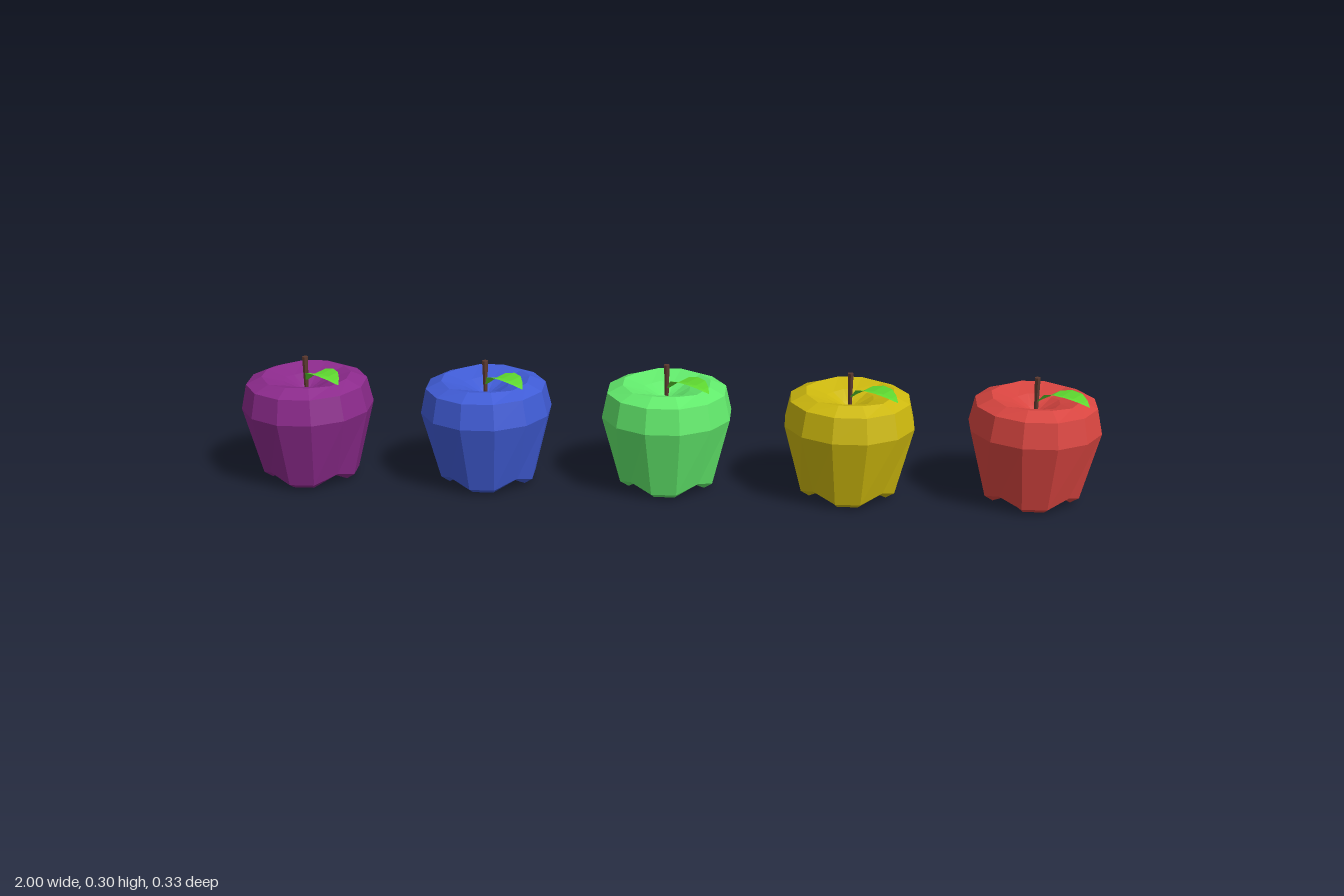
import * as THREE from 'three';

const SIDES = 12;

// Rings of the fruit from the middle of the base to the middle of the top:
// [radius, height, extra height at the four grooves between the lobes]
const RINGS = [
  [0, 0.05, 0],
  [0.05, 0.032, 0.012],
  [0.092, 0.002, 0.026],
  [0.112, 0.015, 0.019],
  [0.154, 0.178, 0],
  [0.141, 0.237, 0],
  [0.104, 0.254, -0.003],
  [0.055, 0.24, -0.003],
  [0.022, 0.222, 0],
  [0, 0.208, 0],
];

function mat(color, side = THREE.FrontSide) {
  return new THREE.MeshStandardMaterial({ color, flatShading: true, side });
}

// Skins a grid of points, rows of equal length, with two triangles per cell
function skin(rows) {
  const n = rows[0].length, index = [];
  for (let i = 0; i < rows.length - 1; i++) {
    for (let j = 0; j < n - 1; j++) {
      const a = i * n + j, b = a + 1, c = a + n, d = c + 1;
      index.push(a, c, b, b, c, d);
    }
  }
  const geo = new THREE.BufferGeometry();
  geo.setAttribute('position', new THREE.Float32BufferAttribute(rows.flat(2), 3));
  geo.setIndex(index);
  geo.computeVertexNormals();
  return geo;
}

// Twelve-sided body with four feet and a dimple at the top
function bodyGeometry() {
  const rows = RINGS.map(([r, y, groove]) => {
    const row = [];
    for (let j = 0; j <= SIDES; j++) {
      const k = j % SIDES;
      const a = ((15 + 30 * k) * Math.PI) / 180;
      row.push([r * Math.cos(a), y + (k % 3 === 1 ? groove : 0), r * Math.sin(a)]);
    }
    return row;
  });
  return skin(rows);
}

// Arched, pointed leaf along +z with a slight fold at the midrib:
// [distance, height, half width]
function leafGeometry() {
  const ribs = [
    [0, 0.24, 0.003],
    [0.022, 0.256, 0.012],
    [0.048, 0.273, 0.026],
    [0.08, 0.281, 0.031],
    [0.115, 0.284, 0.026],
    [0.143, 0.281, 0.014],
    [0.166, 0.275, 0],
  ];
  return skin(ribs.map(([z, y, w]) => [
    [-w, y + w * 0.15, z], [0, y - w * 0.1, z], [w, y + w * 0.15, z],
  ]));
}

// Thin stem, flared at the top and leaning slightly back
function stemGeometry() {
  const geo = new THREE.CylinderGeometry(0.0072, 0.0045, 0.093, 6);
  const p = geo.attributes.position;
  for (let i = 0; i < p.count; i++) p.setZ(i, p.getZ(i) - p.getY(i) * 0.05);
  return geo.translate(0, 0.2515, 0.005);
}

export function createModel() {
  const group = new THREE.Group();
  const body = bodyGeometry(), stem = stemGeometry(), leaf = leafGeometry();
  const stemMat = mat(0x5a382e), leafMat = mat(0x62e032, THREE.DoubleSide);

  const fruits = [
    ['purple', 0x8c2a8c, -0.015],
    ['blue', 0x405cd6, -0.015],
    ['green', 0x62ea6c, -0.015],
    ['yellow', 0xcdb80e, 0.015],
    ['red', 0xd84540, 0.015],
  ];
  fruits.forEach(([name, color, z], i) => {
    const apple = new THREE.Group();
    apple.name = name + 'Apple';
    const add = (part, geo, material) => {
      const mesh = new THREE.Mesh(geo, material);
      mesh.name = part;
      apple.add(mesh);
      return mesh;
    };
    add('body', body, mat(color));
    add('stem', stem, stemMat);
    const blade = add('leaf', leaf, leafMat);
    blade.position.set(0.001, 0, 0.005);
    blade.rotation.y = 0.68;
    apple.position.set((i - 2) * 0.4245, 0, z);
    group.add(apple);
  });
  return group;
}
